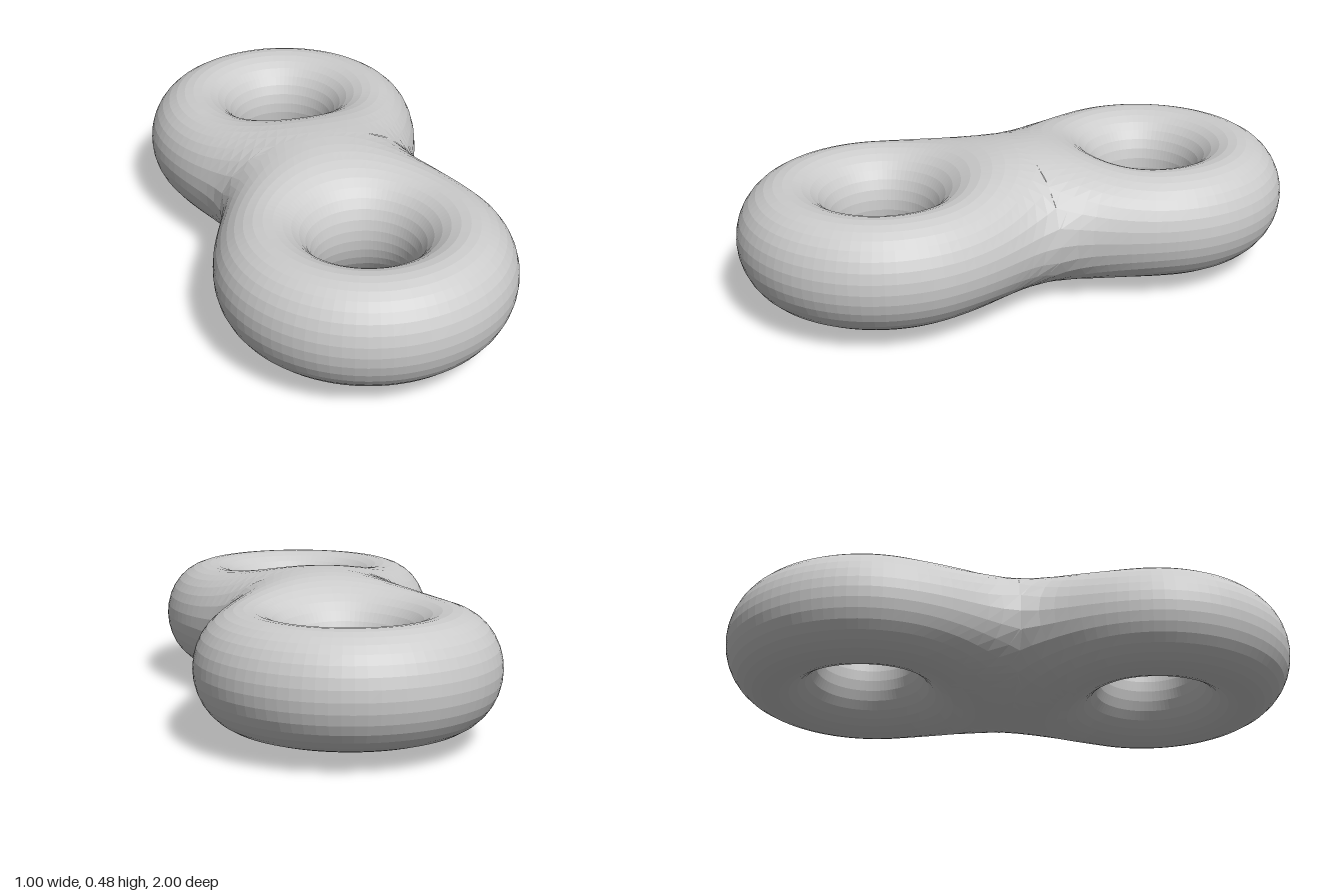
import * as THREE from 'three';

const R = 0.335, r = 0.165, H = 0.188; // ring radius, tube half-width, tube half-height
const CZ = 0.5, CY = 0.242;            // ring centre offset, mid height
const NU = 80, NV = 32;

// Distance to one ring (height scaled so that the tube is a slight ellipse)
const ring = (x, y, z, cz) => Math.hypot(Math.hypot(x, z - cz) - R, y * r / H) - r;

// Two rings melted together
function field(x, y, z) {
  const a = ring(x, y, z, CZ), b = ring(x, y, z, -CZ);
  const k = 0.416 + 0.54 * x * x;
  const h = Math.max(k - Math.abs(a - b), 0) / k;
  return Math.min(a, b) - h * h * k / 4;
}

// First place along a path (t from 0) where the test becomes true
function firstHit(test, step) {
  let hi = step;
  while (!test(hi) && hi < 6) hi += step;
  let lo = hi - step;
  for (let i = 0; i < 24; i++) {
    const m = (lo + hi) / 2;
    if (test(m)) hi = m; else lo = m;
  }
  return lo;
}

// Surface point seen from the ring's core circle; points past the middle
// plane are moved to the outline of the joint at z = 0
function surfacePoint(u, v) {
  const at = (t) => {
    const rho = R + t * r * Math.cos(v);
    return [rho * Math.sin(u), t * H * Math.sin(v), CZ + rho * Math.cos(u)];
  };
  const p = at(firstHit((t) => {
    const q = at(t);
    return q[2] < 0 || field(...q) > 0;
  }, 0.03));
  if (p[2] > 1e-4) return p;
  const len = Math.hypot(p[0], p[1]);
  const dx = len > 1e-5 ? p[0] / len : 0, dy = len > 1e-5 ? p[1] / len : 1;
  const s = firstHit((t) => field(dx * t, dy * t, 0) > 0, 0.01);
  return [dx * s, dy * s, 0];
}

// One half of the body: a ring with its share of the joint
function halfGeometry() {
  const pos = [], index = [];
  for (let i = 0; i < NU; i++) {
    for (let j = 0; j < NV; j++) {
      pos.push(...surfacePoint(i / NU * Math.PI * 2, j / NV * Math.PI * 2));
    }
  }
  const id = (i, j) => (i % NU) * NV + (j % NV);
  const onSeam = (n) => pos[n * 3 + 2] === 0;
  const tri = (...t) => { if (!t.every(onSeam)) index.push(...t); };
  for (let i = 0; i < NU; i++) {
    for (let j = 0; j < NV; j++) {
      const a = id(i, j), b = id(i + 1, j), c = id(i + 1, j + 1), d = id(i, j + 1);
      tri(a, b, c);
      tri(a, c, d);
    }
  }
  const g = new THREE.BufferGeometry();
  g.setAttribute('position', new THREE.Float32BufferAttribute(pos, 3));
  g.setIndex(index);
  g.computeVertexNormals();
  return g;
}

export function createModel() {
  const model = new THREE.Group();
  model.name = 'doubleRing';
  const material = new THREE.MeshStandardMaterial({ color: 0xcccccc, flatShading: true });
  const geometry = halfGeometry();
  // The back half is the front half turned around
  ['frontRing', 'backRing'].forEach((name, i) => {
    const mesh = new THREE.Mesh(geometry, material);
    mesh.name = name;
    mesh.position.y = CY;
    mesh.rotation.y = i * Math.PI;
    model.add(mesh);
  });
  return model;
}
